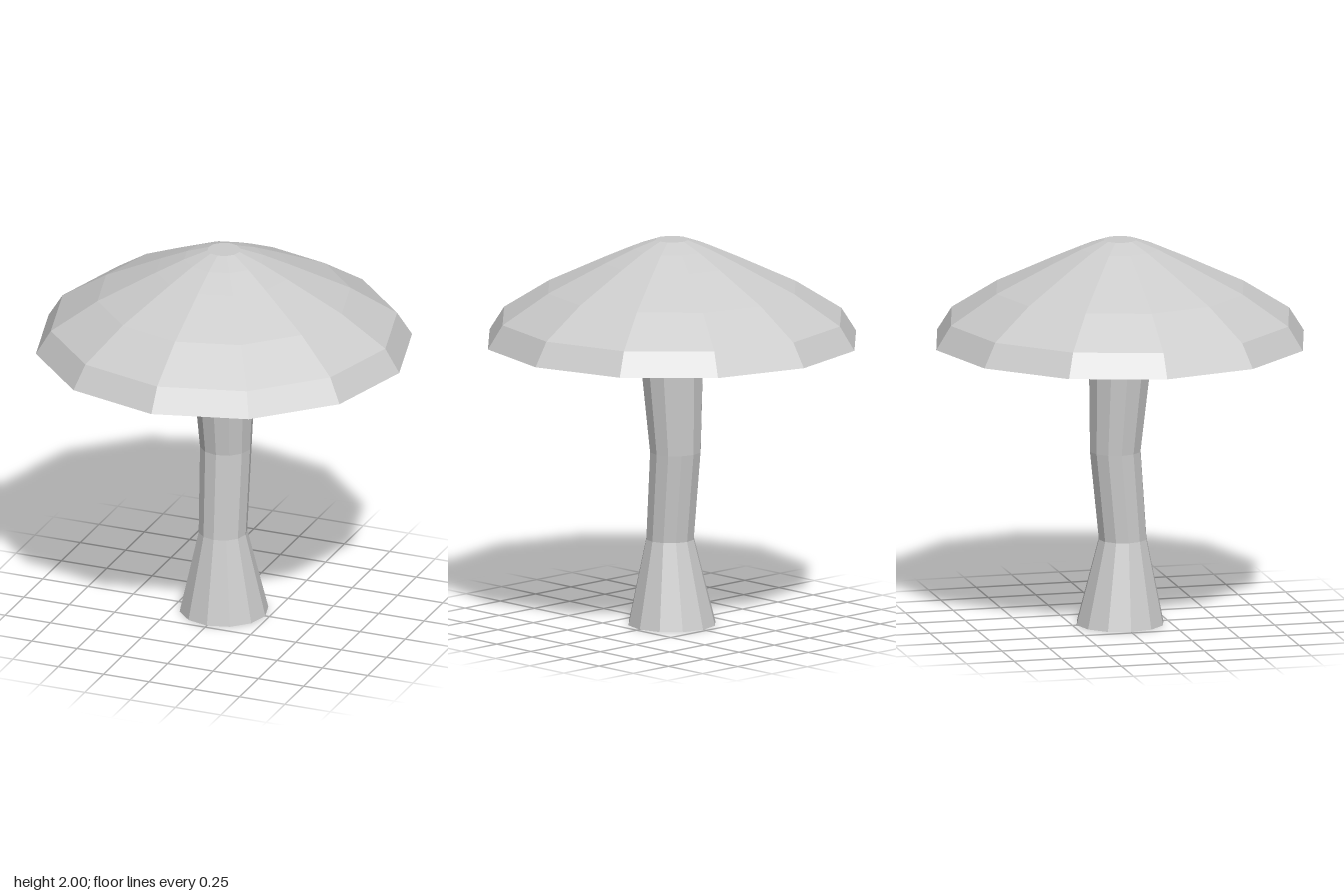
import * as THREE from 'three';

const SIDES = 12;

// Faceted turned part from [radius, y] pairs, listed bottom to top
function turned(name, profile) {
  const points = profile.map(([r, y]) => new THREE.Vector2(r, y));
  const geometry = new THREE.LatheGeometry(points, SIDES);
  const material = new THREE.MeshStandardMaterial({ color: 0xcccccc, flatShading: true });
  const mesh = new THREE.Mesh(geometry, material);
  mesh.name = name;
  return mesh;
}

export function createModel() {
  const group = new THREE.Group();
  group.name = 'mushroom';

  // Cap: shallow conical underside, bevelled rim, faceted dome, small flat crown
  const cap = turned('cap', [
    [0.16, 1.355], [0.967, 1.475], [0.89, 1.597], [0.65, 1.75],
    [0.35, 1.892], [0.205, 1.957], [0.085, 2], [0, 2],
  ]);

  // Stem: flared foot with a closed base, narrow waist, slightly wider top
  const stem = turned('stem', [[0, 0], [0.228, 0], [0.125, 0.44], [0.133, 0.9], [0.163, 1.357]]);

  // Bend the stem by shifting its middle rings along z
  const position = stem.geometry.attributes.position;
  for (let i = 0; i < position.count; i++) {
    const y = position.getY(i);
    const shift = y > 0.3 && y < 0.6 ? 0.014 : y > 0.6 && y < 1.2 ? -0.025 : 0;
    position.setZ(i, position.getZ(i) + shift);
  }
  stem.geometry.computeVertexNormals();

  group.add(cap, stem);
  return group;
}
